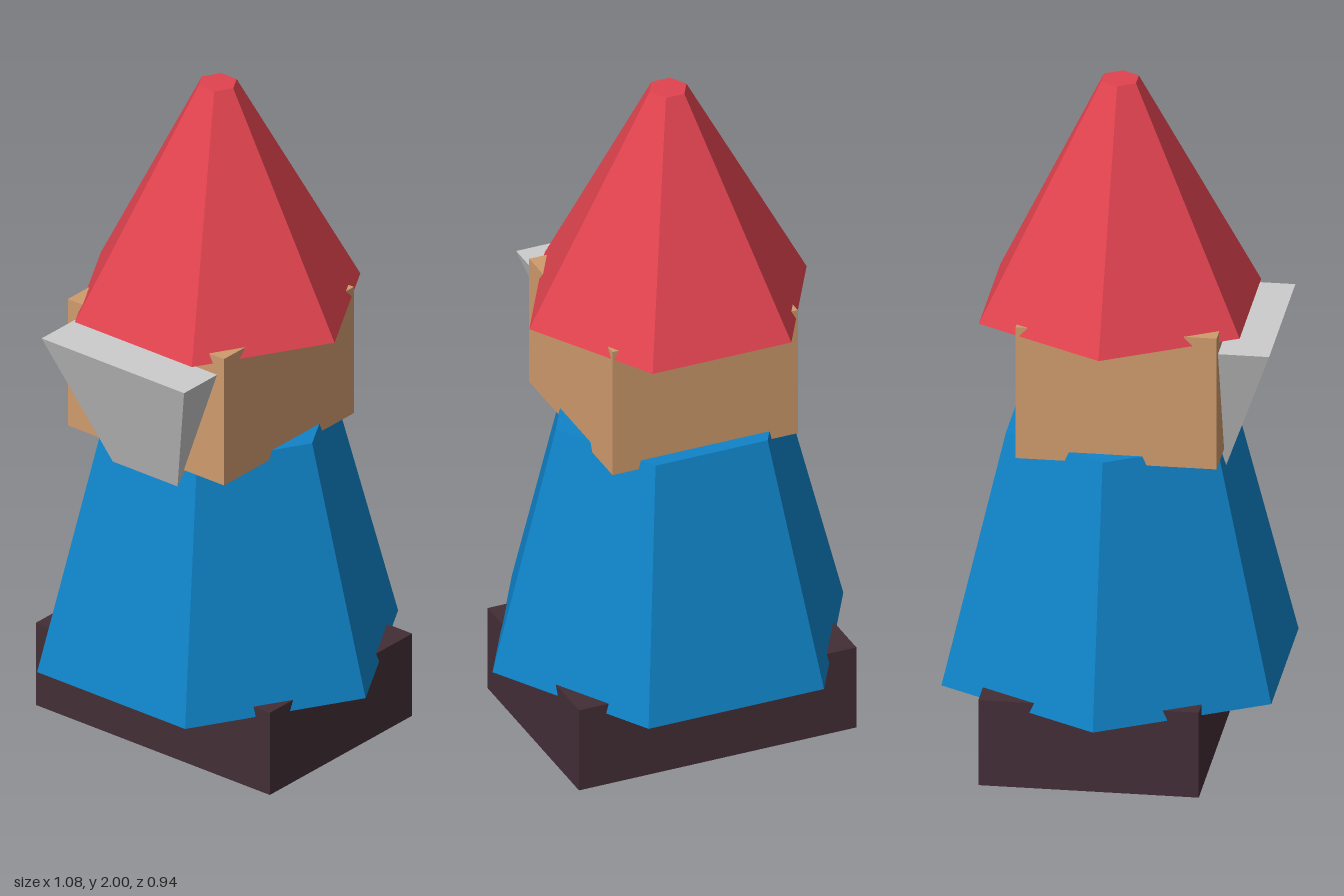
import * as THREE from 'three';

const mat = (name, color) => {
  const m = new THREE.MeshStandardMaterial({ color });
  m.name = name;
  m.flatShading = true;
  return m;
};

export function createModel() {
  const group = new THREE.Group();
  group.name = 'gnome';
  const red = mat('hat red', 0xe0434f);
  const blue = mat('coat blue', 0x1083c8);
  const skin = mat('skin tan', 0xcf9b6d);
  const grey = mat('beard grey', 0xcccccc);
  const dark = mat('boot brown', 0x432e36);

  const add = (name, geometry, material, y, z = 0) => {
    const mesh = new THREE.Mesh(geometry, material);
    mesh.name = name;
    mesh.position.set(0, y, z);
    group.add(mesh);
  };

  // Tapered prism from y0 to y1, turned so that a flat side faces the front
  const taper = (name, sides, rTop, rBottom, y0, y1, material, z) =>
    add(name, new THREE.CylinderGeometry(rTop, rBottom, y1 - y0, sides, 1, false, Math.PI / sides),
      material, (y0 + y1) / 2, z);

  // Boots block and six-sided coat
  add('boots', new THREE.BoxGeometry(0.854, 0.26, 0.625), dark, 0.13, -0.028);
  taper('coat', 6, 0.345, 0.54, 0.23, 0.972, blue);

  // Head block under a six-sided pointed hat
  add('head', new THREE.BoxGeometry(0.57, 0.4, 0.57), skin, 1.145, 0.03);
  taper('hat', 6, 0.057, 0.427, 1.318, 2, red);

  // Beard: inverted four-sided pyramid sunk into the head and coat
  taper('beard', 4, 0.26 * Math.SQRT2, 0.016 * Math.SQRT2, 0.6, 1.287, grey, 0.2);

  return group;
}
